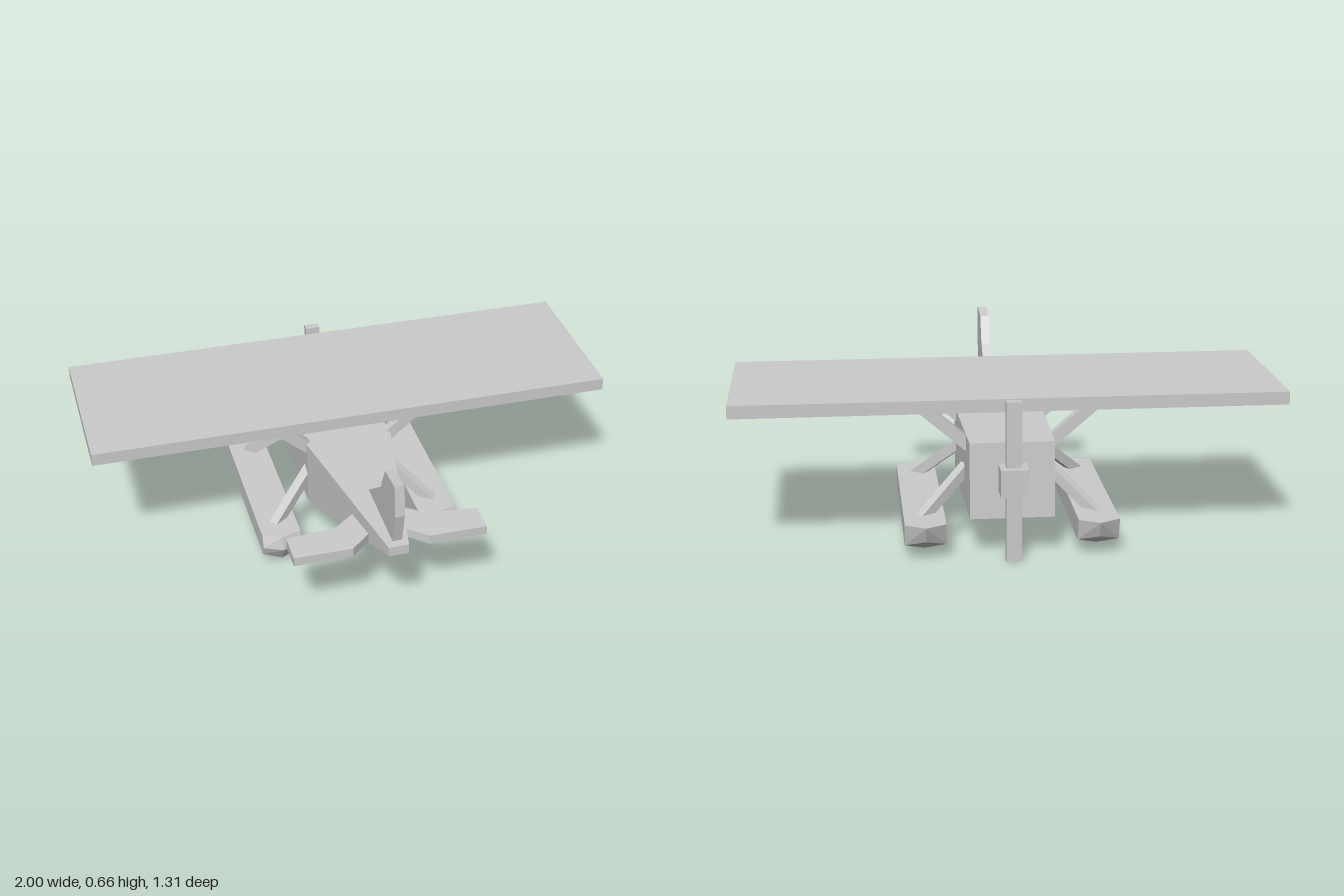
import * as THREE from 'three';
import { ConvexGeometry } from 'three/addons/geometries/ConvexGeometry.js';

const material = new THREE.MeshStandardMaterial({ color: 0xcccccc, flatShading: true });
const V = (x, y, z) => new THREE.Vector3(x, y, z);

export function createModel() {
  const model = new THREE.Group();

  const add = (name, geometry) => {
    const mesh = new THREE.Mesh(geometry, material);
    mesh.name = name;
    model.add(mesh);
    return mesh;
  };

  // Box given by its extents on each axis
  const block = (name, [x0, x1], [y0, y1], [z0, z1]) =>
    add(name, new THREE.BoxGeometry(x1 - x0, y1 - y0, z1 - z0))
      .position.set((x0 + x1) / 2, (y0 + y1) / 2, (z0 + z1) / 2);

  // Flat plate, centred on its own thickness
  const plate = (points, thickness) =>
    new THREE.ExtrudeGeometry(new THREE.Shape(points.map(p => new THREE.Vector2(...p))),
      { depth: thickness, bevelEnabled: false }).translate(0, 0, -thickness / 2);

  // Square bar between two points
  const bar = (name, from, to, size) => {
    const mesh = add(name, new THREE.BoxGeometry(size, size, from.distanceTo(to)));
    mesh.position.copy(from).lerp(to, 0.5);
    mesh.lookAt(to);
  };

  // Solid from points that are mirrored across x = 0
  const mirroredHull = points =>
    new ConvexGeometry(points.flatMap(([x, y, z]) => x ? [V(x, y, z), V(-x, y, z)] : [V(0, y, z)]));

  // Fuselage: nose, widest section, tail end
  add('fuselage', mirroredHull([
    [0.153, 0.425, -0.563], [0.153, 0.145, -0.576],
    [0.167, 0.414, -0.03], [0.167, 0.155, -0.03],
    [0.038, 0.4, 0.652], [0.038, 0.362, 0.652],
  ]));

  block('wing', [-1, 1], [0.537, 0.585], [-0.563, 0.069]);

  // Propeller at the nose
  block('propellerHub', [-0.05, 0.05], [0.248, 0.349], [-0.656, -0.568]);
  block('propellerBlade', [-0.028, 0.028], [0, 0.59], [-0.63, -0.598]);

  // Tail fin, outlined in z and y
  add('tailFin', plate([
    [0.645, 0.657], [0.525, 0.644], [0.472, 0.539],
    [0.317, 0.418], [0.63, 0.41], [0.658, 0.535],
  ], 0.036).rotateY(-Math.PI / 2));

  for (const [side, s] of [['left', 1], ['right', -1]]) {
    // Tailplane, outlined in x and z
    add(side + 'Tailplane', plate([
      [0.08, 0.35], [0.17, 0.422], [0.364, 0.445],
      [0.364, 0.562], [0.144, 0.562], [0.065, 0.49],
    ].map(([x, z]) => [s * x, z]), 0.036).rotateX(Math.PI / 2).translate(0, 0.333, 0));

    // Float with a keel, pointed bow and blunt stern
    add(side + 'Float', mirroredHull([
      [0.075, 0.135, -0.592], [0.075, 0.053, -0.572],
      [0, 0.135, -0.632], [0, 0.075, -0.607], [0, 0.024, -0.525],
      [0.075, 0.135, 0.13], [0.075, 0.09, 0.146], [0.075, 0.05, 0.13],
      [0, 0.135, 0.153], [0, 0.077, 0.163], [0, 0.014, 0.126],
    ])).position.x = s * 0.313;

    // Wing struts and float struts, one pair per side
    for (const [end, wingZ, topZ, bottomZ] of [['Front', -0.428, -0.365, -0.475], ['Rear', -0.061, -0.07, 0.05]]) {
      add(side + end + 'WingStrut', plate([
        [0.364, 0.54], [0.298, 0.54], [0.11, 0.378], [0.11, 0.32],
      ].map(([x, y]) => [s * x, y]), 0.037)).position.z = wingZ;
      bar(side + end + 'FloatStrut', V(s * 0.148, 0.28, topZ), V(s * 0.321, 0.119, bottomZ), 0.037);
    }
  }

  return model;
}
